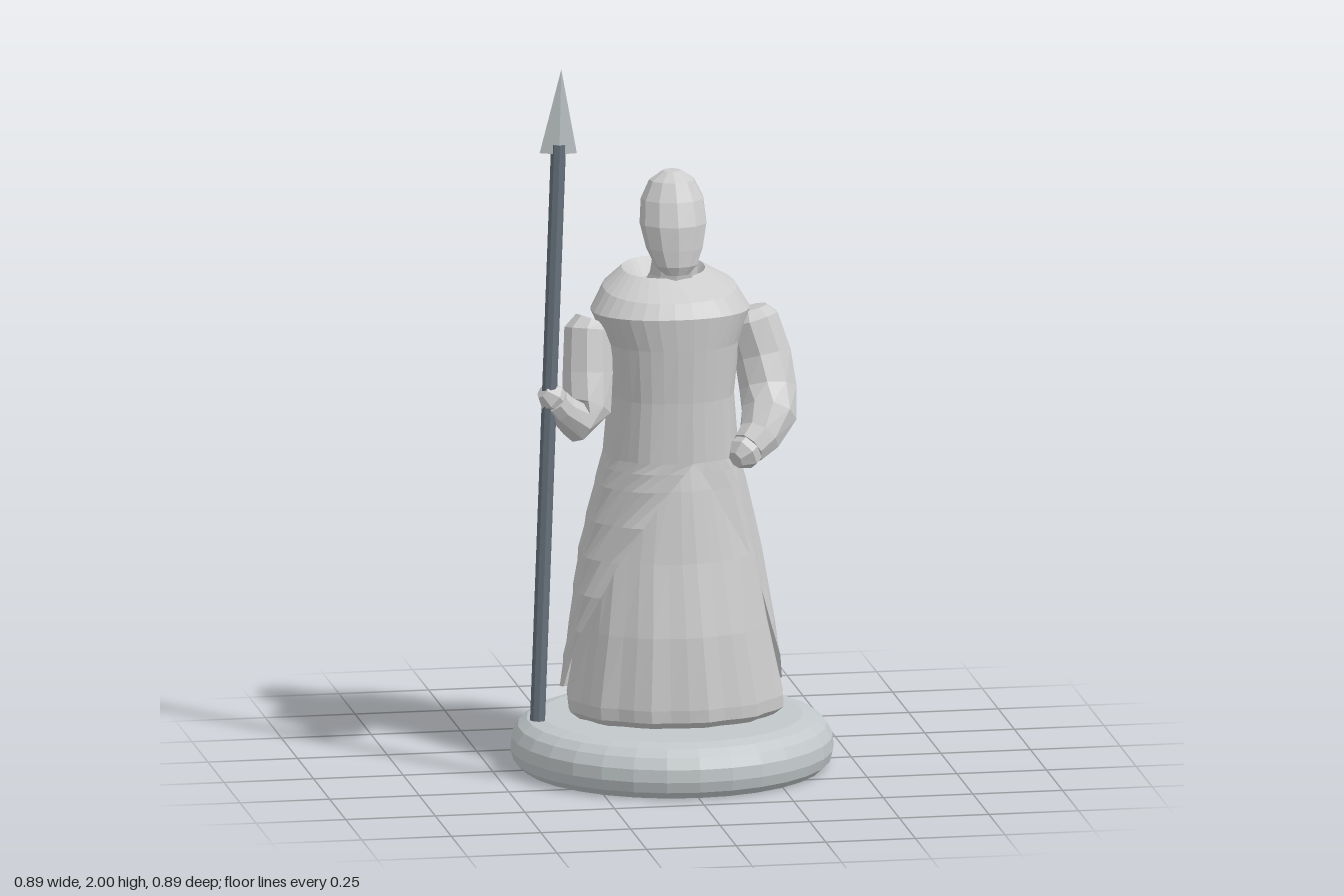
import * as THREE from 'three';

const V = (x, y, z) => new THREE.Vector3(x, y, z);
const mat = (color = 0xcccccc) => new THREE.MeshStandardMaterial({ color, flatShading: true, side: THREE.DoubleSide });

function add(group, name, geometry, color) {
  const mesh = new THREE.Mesh(geometry, mat(color));
  mesh.name = name;
  group.add(mesh);
  return mesh;
}

// Skin a list of rings; optionally close them around and cap both ends
function loft(rings, closed = true, caps = true) {
  const pos = [], index = [], n = rings[0].length;
  rings.forEach(r => r.forEach(p => pos.push(p.x, p.y, p.z)));
  const cols = closed ? n : n - 1;
  for (let i = 0; i < rings.length - 1; i++) {
    for (let j = 0; j < cols; j++) {
      const a = i * n + j, b = i * n + (j + 1) % n;
      index.push(a, b, b + n, a, b + n, a + n);
    }
  }
  if (caps) {
    [0, rings.length - 1].forEach((row, end) => {
      const c = rings[row].reduce((s, p) => s.add(p), V(0, 0, 0)).divideScalar(n);
      const k = pos.length / 3;
      pos.push(c.x, c.y, c.z);
      for (let j = 0; j < n; j++) {
        const a = row * n + j, b = row * n + (j + 1) % n;
        if (end) index.push(a, b, k); else index.push(b, a, k);
      }
    });
  }
  const g = new THREE.BufferGeometry();
  g.setAttribute('position', new THREE.Float32BufferAttribute(pos, 3));
  g.setIndex(index);
  g.computeVertexNormals();
  return g;
}

// Point on a slightly squared oval; row = [y, cx, cz, rx, rz], angle 0 faces the front
function oval([y, cx, cz, rx, rz], a, k = 1, power = 0.9) {
  const s = Math.sin(a), c = Math.cos(a);
  return V(cx + rx * k * Math.sign(s) * Math.abs(s) ** power, y, cz + rz * k * Math.sign(c) * Math.abs(c) ** power);
}

const stack = (rows, n, fold = () => 1, power = 1) => loft(rows.map(row =>
  Array.from({ length: n }, (_, j) => {
    const a = j / n * Math.PI * 2;
    return oval(row, a, fold(a, row[0]), power);
  })));

// Limb along points [x, y, z, radius]
function limb(points, n = 9) {
  const p = points.map(q => V(q[0], q[1], q[2]));
  return loft(p.map((c, i) => {
    const t = p[Math.min(i + 1, p.length - 1)].clone().sub(p[Math.max(i - 1, 0)]).normalize();
    const u = V(0.3, 0, 1).cross(t).normalize(), v = t.clone().cross(u);
    return Array.from({ length: n }, (_, j) => {
      const a = j / n * Math.PI * 2, r = points[i][3];
      return c.clone().addScaledVector(u, Math.cos(a) * r).addScaledVector(v, Math.sin(a) * r);
    });
  }));
}

// Long coat with an arched opening that widens toward the hem
function coatGeometry() {
  const rows = [
    [0.23, 0, -0.005, 0.305, 0.245], [0.3, 0, -0.005, 0.295, 0.24], [0.4, 0, -0.005, 0.28, 0.227],
    [0.5, 0, -0.02, 0.265, 0.213], [0.6, 0, -0.03, 0.25, 0.198], [0.7, 0, -0.028, 0.228, 0.186],
    [0.8, 0, -0.025, 0.205, 0.177], [0.85, 0, -0.022, 0.192, 0.172], [0.88, 0, -0.02, 0.185, 0.168],
    [1.05, 0, -0.012, 0.172, 0.163], [1.2, 0, -0.003, 0.185, 0.164], [1.29, -0.006, 0.004, 0.22, 0.162],
    [1.35, -0.006, -0.005, 0.185, 0.145], [1.395, -0.02, -0.025, 0.115, 0.088], [1.35, -0.02, -0.02, 0.085, 0.065],
    [1.35, -0.02, -0.02, 0.005, 0.005],
  ];
  const n = 32;
  return loft(rows.map((row, i) => {
    const y = row[0];
    const half = y < 0.88 ? 1.62 * ((0.88 - y) / 0.65) ** 0.85 : 0;
    const middle = 0.15 * Math.min(1, Math.max(0, (y - 0.25) / 0.6));
    return Array.from({ length: n + 1 }, (_, j) => {
      const a = middle + half + j / n * (Math.PI * 2 - 2 * half);
      const folds = 1 + 0.022 * Math.max(0, Math.min(1, (1.2 - y) * 2)) * Math.sin(9 * a);
      const p = oval(row, a, folds);
      if (i === 0) p.y += 0.06 * Math.cos(a);
      if (i > 11) p.y -= 0.14 * p.z;
      return p;
    });
  }), false, false);
}

export function createModel() {
  const model = new THREE.Group();
  model.name = 'spearBearer';

  // Round plinth
  const profile = [[0, 0], [0.415, 0], [0.437, 0.02], [0.445, 0.05], [0.442, 0.085], [0.425, 0.115],
    [0.4, 0.135], [0.36, 0.145], [0, 0.145]];
  add(model, 'plinth', new THREE.LatheGeometry(profile.map(q => new THREE.Vector2(...q)), 30), 0xc2c8ca);

  // Robe layers
  add(model, 'underskirt', stack([
    [0.143, 0.012, -0.01, 0.27, 0.2], [0.165, 0.012, -0.01, 0.298, 0.228], [0.2, 0.01, -0.01, 0.3, 0.23],
    [0.4, 0.004, -0.005, 0.262, 0.208], [0.6, 0, -0.005, 0.23, 0.17], [0.8, 0, -0.012, 0.178, 0.152],
    [0.92, 0, -0.012, 0.14, 0.13],
  ], 36, (a, y) => 1 + 0.03 * (1 - y) * Math.sin(12 * a)));
  add(model, 'coat', coatGeometry());

  // Neck and forward-leaning head
  add(model, 'neck', stack([[1.33, -0.01, -0.01, 0.085, 0.075], [1.39, 0, 0.015, 0.068, 0.058],
    [1.47, 0, 0.035, 0.06, 0.05]], 9));
  add(model, 'head', stack([
    [1.4, 0, 0.075, 0.035, 0.025], [1.425, 0, 0.066, 0.06, 0.044], [1.47, 0, 0.045, 0.08, 0.064],
    [1.535, 0, 0.025, 0.094, 0.079], [1.6, 0, 0.008, 0.088, 0.071], [1.65, 0, -0.002, 0.063, 0.054],
    [1.675, 0, -0.005, 0.025, 0.022],
  ], 11));

  // Right arm, bent outward to grip the spear
  add(model, 'rightArm', limb([
    [-0.225, 1.265, 0.0, 0.045], [-0.235, 1.24, 0.005, 0.066], [-0.24, 1.12, 0.03, 0.07],
    [-0.25, 1.03, 0.06, 0.07], [-0.285, 1.0, 0.09, 0.058], [-0.33, 1.045, 0.12, 0.043], [-0.35, 1.07, 0.13, 0.04],
  ]));
  add(model, 'rightHand', limb([
    [-0.335, 1.055, 0.122, 0.032], [-0.36, 1.08, 0.13, 0.042], [-0.385, 1.1, 0.137, 0.022],
  ], 7));

  // Left arm, bent forward across the waist
  add(model, 'leftArm', limb([
    [0.215, 1.28, 0.005, 0.05], [0.222, 1.25, 0.008, 0.076], [0.25, 1.15, 0.025, 0.08], [0.258, 1.06, 0.06, 0.08],
    [0.25, 1.0, 0.11, 0.078], [0.215, 0.95, 0.155, 0.06], [0.18, 0.925, 0.18, 0.05],
  ]));
  add(model, 'leftHand', limb([
    [0.195, 0.935, 0.17, 0.045], [0.165, 0.912, 0.192, 0.048], [0.14, 0.9, 0.208, 0.025],
  ], 7));

  // Leaning spear
  const foot = V(-0.402, 0.175, 0.15), neck = V(-0.338, 1.79, 0.12);
  const dir = neck.clone().sub(foot);
  const spear = new THREE.Group();
  spear.name = 'spear';
  spear.position.copy(foot);
  spear.quaternion.setFromUnitVectors(V(0, 1, 0), dir.clone().normalize());
  model.add(spear);
  const length = dir.length();
  add(spear, 'spearShaft', new THREE.CylinderGeometry(0.021, 0.021, length, 8).translate(0, length / 2, 0), 0x66717c);
  add(spear, 'spearHead', new THREE.ConeGeometry(0.052, 0.235, 4).scale(1, 1, 0.33)
    .translate(0, length + 0.0925, 0), 0xb6bcbe);

  return model;
}
